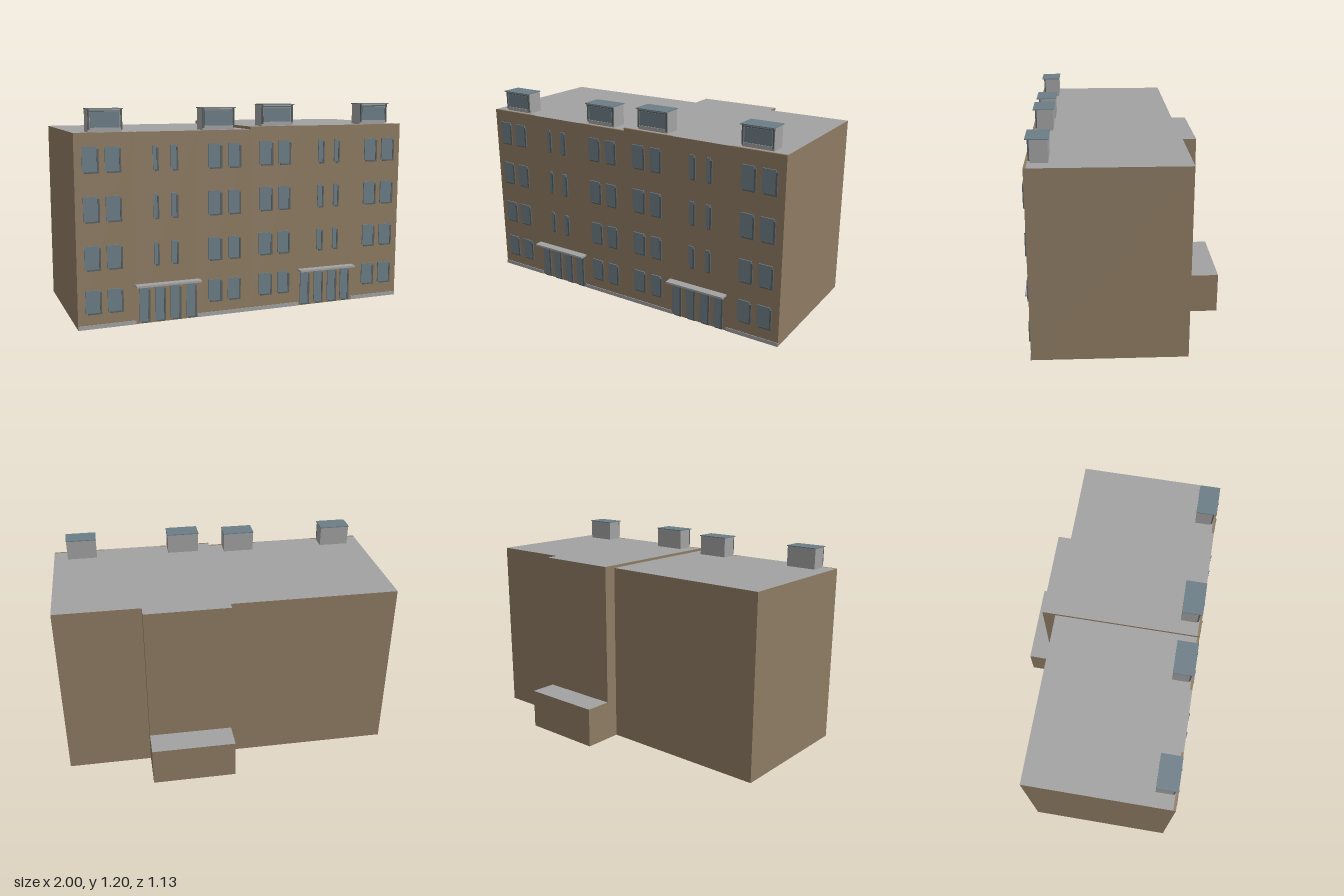
import * as THREE from 'three';

const mat = (name, color) => {
  const m = new THREE.MeshStandardMaterial({ color });
  m.name = name;
  return m;
};

export function createModel() {
  const wall = mat('brownWall', 0x8e7c63);
  const roof = mat('greyRoof', 0xa2a2a2);
  const glass = mat('blueGreyGlass', 0x6c7d86);
  const frame = mat('darkFrame', 0x5a6062);
  const wallWithRoof = [wall, wall, roof, wall, wall, wall];

  const model = new THREE.Group();
  model.name = 'apartmentBuilding';

  // box given by its min and max on each axis
  const box = (parent, name, material, x0, x1, y0, y1, z0, z1) => {
    const mesh = new THREE.Mesh(new THREE.BoxGeometry(x1 - x0, y1 - y0, z1 - z0), material);
    mesh.position.set((x0 + x1) / 2, (y0 + y1) / 2, (z0 + z1) / 2);
    mesh.name = name;
    parent.add(mesh);
    return mesh;
  };

  const FRONT = 0.516, INNER = 0.502;

  // pane with a dark frame showing along its right and lower edges
  const pane = (parent, name, x0, x1, y0, y1) => {
    const g = new THREE.Group();
    g.name = name;
    box(g, 'glass', glass, x0, x1 - 0.01, y0 + 0.008, y1, FRONT, FRONT + 0.007);
    box(g, 'jamb', frame, x1 - 0.01, x1, y0, y1 - 0.012, FRONT, FRONT + 0.01);
    box(g, 'sill', frame, x0 + 0.012, x1 - 0.01, y0, y0 + 0.008, FRONT, FRONT + 0.01);
    parent.add(g);
  };

  // dormer: grey box, framed glass front and overhanging glass-coloured lid
  const dormer = (parent, x0, x1, y) => {
    const g = new THREE.Group();
    g.name = 'dormer';
    const top = y + 0.125, z = 0.488;
    box(g, 'body', roof, x0 + 0.003, x1 - 0.003, y, top - 0.005, 0.395, z);
    box(g, 'lid', glass, x0, x1, top - 0.005, top, 0.39, 0.51);
    box(g, 'window', glass, x0 + 0.016, x1 - 0.016, y + 0.024, top - 0.02, z, z + 0.004);
    for (const x of [x0 + 0.003, x1 - 0.011]) {
      box(g, 'post', frame, x, x + 0.008, y + 0.012, top - 0.005, z, z + 0.009);
    }
    box(g, 'lowerRail', roof, x0 + 0.011, x1 - 0.011, y + 0.012, y + 0.024, z, z + 0.008);
    box(g, 'upperRail', frame, x0 + 0.011, x1 - 0.011, top - 0.018, top - 0.012, z, z + 0.008);
    parent.add(g);
  };

  const halves = [
    {
      name: 'rightHalf', x: [-1, 0], h: 1.06, lift: 0,
      bays: [-1, -0.68, -0.32, 0],
      wide: [[-0.958, -0.87], [-0.836, -0.75], [-0.255, -0.172], [-0.135, -0.058]],
      narrow: [[-0.573, -0.543], [-0.472, -0.432]],
      doors: [[-0.66, -0.6], [-0.57, -0.51], [-0.48, -0.42], [-0.387, -0.328]],
      canopy: [-0.685, -0.31],
      dormers: [[-0.92, -0.73], [-0.28, -0.085]],
    },
    {
      name: 'leftHalf', x: [0, 1], h: 1.076, lift: 0.006,
      bays: [0, 0.32, 0.68, 1],
      wide: [[0.058, 0.142], [0.178, 0.255], [0.752, 0.836], [0.87, 0.957]],
      narrow: [[0.437, 0.475], [0.543, 0.578]],
      doors: [[0.33, 0.39], [0.423, 0.482], [0.514, 0.575], [0.603, 0.662]],
      canopy: [0.31, 0.68],
      dormers: [[0.08, 0.28], [0.73, 0.918]],
    },
  ];
  const rows = [[0.082, 0.214], [0.322, 0.456], [0.582, 0.722], [0.846, 0.986]];

  for (const s of halves) {
    const half = new THREE.Group();
    half.name = s.name;
    model.add(half);
    box(half, 'block', wallWithRoof, ...s.x, 0, s.h, -0.33, INNER);

    // facade bays; the roof runs to the front edge only over the entrance bay
    for (let i = 0; i < 3; i++) {
      const [a, b] = [s.bays[i], s.bays[i + 1]];
      box(half, 'facadeBay', i === 1 ? wallWithRoof : wall, a, b, 0, s.h, INNER, FRONT);
      if (i !== 1) box(half, 'plinth', roof, a, b, 0, 0.022, FRONT, FRONT + 0.004);
    }

    // windows on four floors, stair windows on the upper three
    rows.forEach(([y0, y1], floor) => {
      const columns = floor ? [...s.wide, ...s.narrow] : s.wide;
      for (const [a, b] of columns) pane(half, 'window', a, b, y0 + s.lift, y1 + s.lift);
    });

    // entrance
    for (const [a, b] of s.doors) pane(half, 'door', a, b, 0.004, 0.204);
    box(half, 'canopy', roof, ...s.canopy, 0.214, 0.225, FRONT, 0.565);

    for (const [a, b] of s.dormers) dormer(half, a, b, s.h);
  }

  // rear projection and low annex
  box(model, 'rearProjection', wallWithRoof, 0, 0.5, 0, 1.076, -0.405, -0.33);
  box(model, 'rearAnnex', wallWithRoof, 0, 0.5, 0, 0.237, -0.565, -0.405);

  return model;
}
